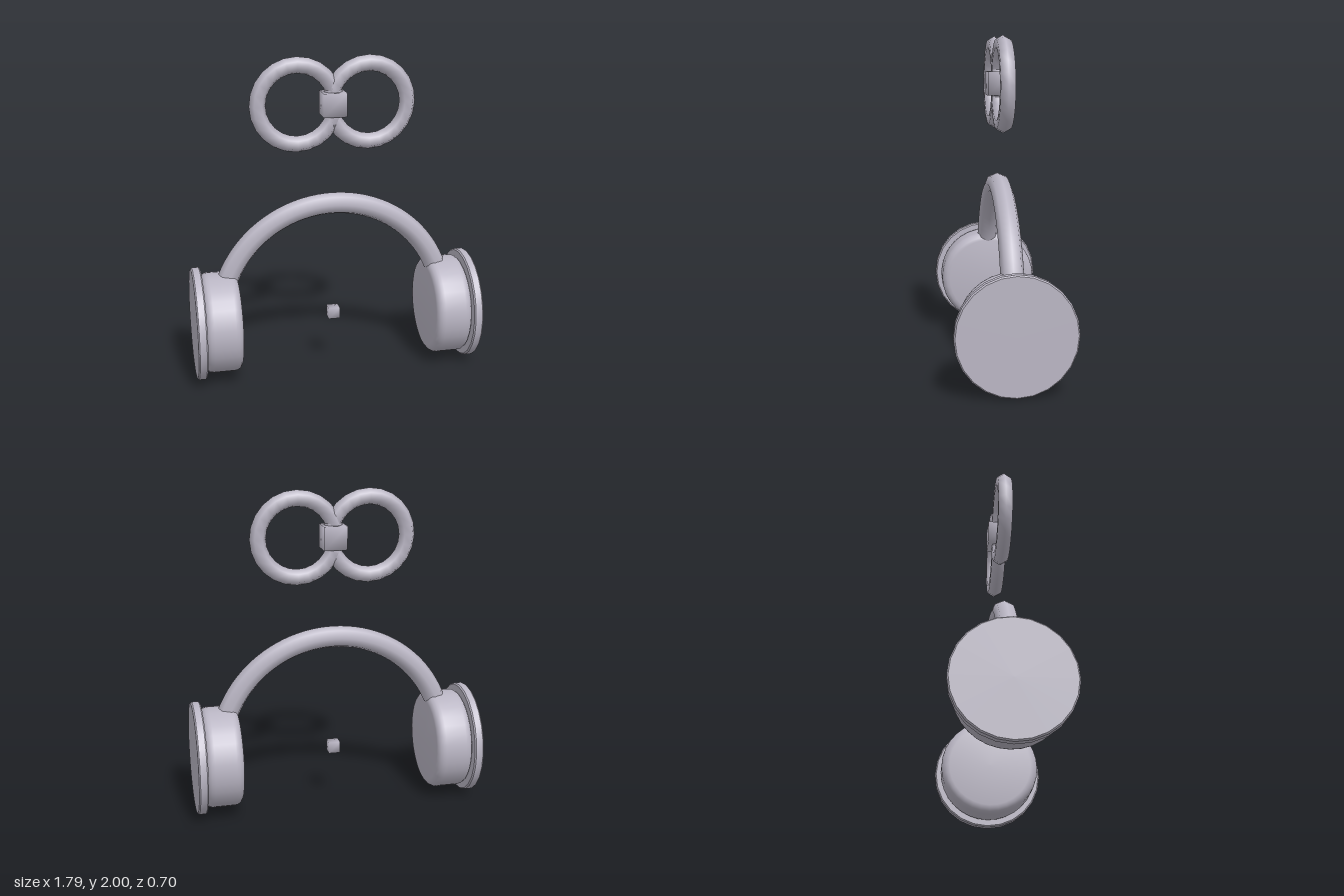
import * as THREE from 'three';
import { mergeVertices, toCreasedNormals } from 'three/addons/utils/BufferGeometryUtils.js';

const EAR_Y = 0.357;
const BOW_Y = 1.71;

export function createModel() {
  const model = new THREE.Group();
  model.name = 'headphonesWithBow';
  const grey = new THREE.MeshStandardMaterial({ color: 0xbab6c4, side: THREE.DoubleSide });
  grey.name = 'paleGrey';

  const add = (parent, name, geometry, x = 0, y = 0, z = 0) => {
    const mesh = new THREE.Mesh(geometry, grey);
    mesh.name = name;
    mesh.position.set(x, y, z);
    parent.add(mesh);
    return mesh;
  };

  // Profile of [radius, distance along x], turned around the x axis
  const turned = (profile, sides) => {
    const g = new THREE.LatheGeometry(profile.map(p => new THREE.Vector2(...p)), sides);
    g.rotateZ(-Math.PI / 2);
    return toCreasedNormals(g, 0.7);
  };

  // Cube with normals shared across its edges, so it shades softly
  const softCube = size => {
    const g = new THREE.BoxGeometry(size, size, size);
    g.deleteAttribute('normal');
    g.deleteAttribute('uv');
    const merged = mergeVertices(g);
    merged.computeVertexNormals();
    return merged;
  };

  // Headband: arc ending inside the ear cups
  const arc = Math.PI * 0.75;
  const band = new THREE.TorusGeometry(0.722, 0.068, 8, 40, arc);
  band.rotateZ((Math.PI - arc) / 2);
  add(model, 'headband', band, 0, EAR_Y + 0.005, 0);

  // Ear cups: soft cushion and thin outer disc
  const cushion = turned([
    [0, 0.61], [0.265, 0.61], [0.285, 0.614], [0.302, 0.626], [0.312, 0.643], [0.315, 0.66],
    [0.315, 0.79], [0.312, 0.81], [0.302, 0.826], [0.285, 0.836], [0, 0.836],
  ], 32);
  const disc = turned([
    [0, 0.835], [0.343, 0.835], [0.351, 0.843], [0.351, 0.885], [0.343, 0.893], [0, 0.893],
  ], 24);
  for (const side of ['left', 'right']) {
    const ear = new THREE.Group();
    ear.name = side + 'Ear';
    ear.position.y = EAR_Y - 0.004;
    if (side === 'right') ear.rotation.y = Math.PI;
    add(ear, side + 'Cushion', cushion);
    add(ear, side + 'OuterDisc', disc);
    model.add(ear);
  }

  // Bow: two overlapping rings with a square knot
  const bow = new THREE.Group();
  bow.name = 'bow';
  bow.position.y = BOW_Y;
  for (const s of [1, -1]) {
    const ring = new THREE.TorusGeometry(0.24, 0.05, 6, 24);
    add(bow, s > 0 ? 'leftLoop' : 'rightLoop', ring, s * 0.223);
  }
  add(bow, 'knot', softCube(0.145));
  model.add(bow);

  // Small cube floating between the ears
  add(model, 'centreCube', softCube(0.072), 0, EAR_Y, 0);

  return model;
}
